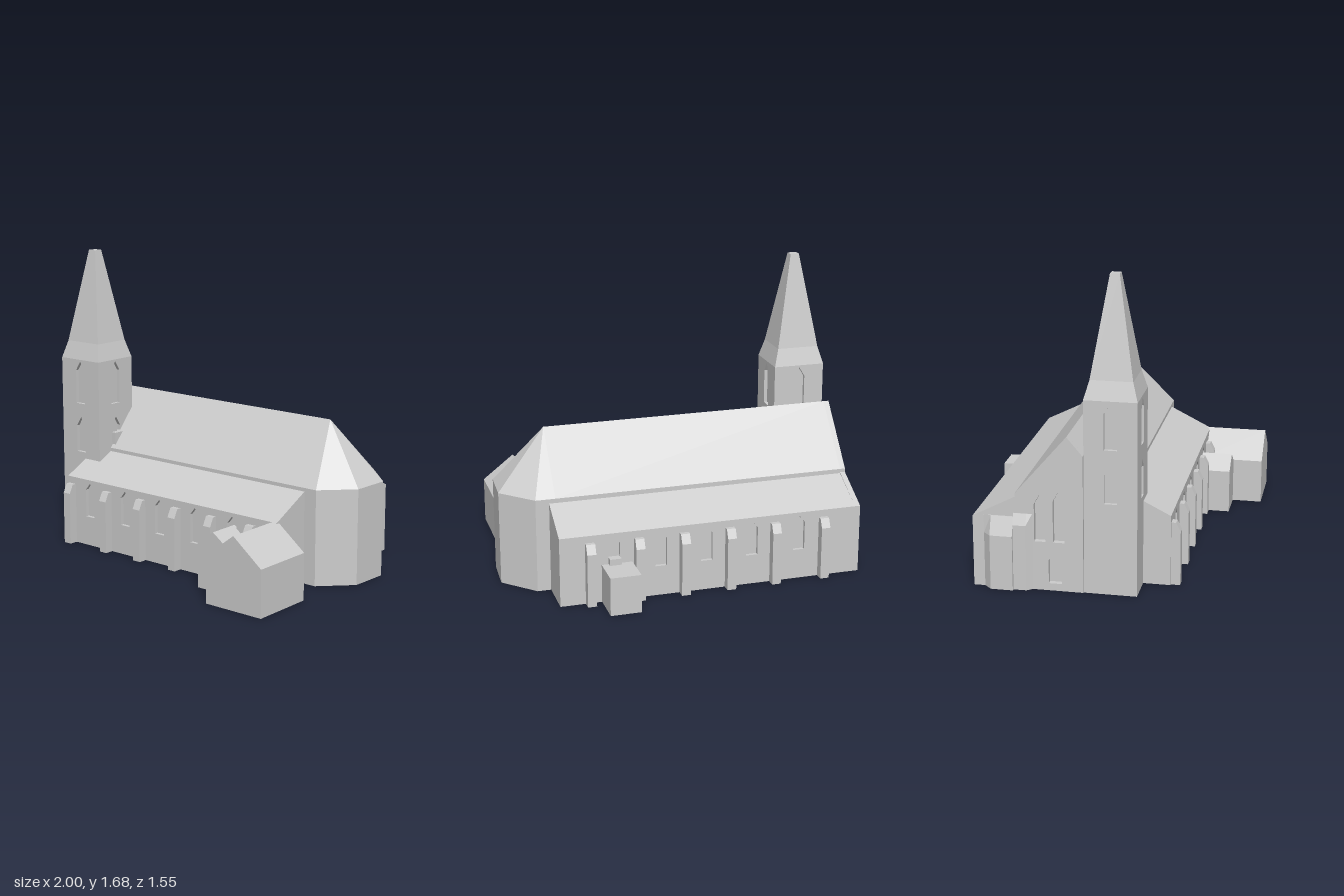
import * as THREE from 'three';

const stone = new THREE.MeshStandardMaterial({ color: 0xcccccc });
stone.name = 'stone';

const mesh = (name, geometry, parent) => {
  const m = new THREE.Mesh(geometry, stone);
  m.name = name;
  parent.add(m);
  return m;
};

// Outline in the given plane, with optional openings
const outline = (pts, holes = []) => {
  const s = new THREE.Shape(pts.map(p => new THREE.Vector2(p[0], p[1])));
  s.holes = holes.map(h => new THREE.Path(h.map(p => new THREE.Vector2(p[0], p[1]))));
  return s;
};

// Outline (x, y) extruded from z0 to z1
const prismZ = (pts, z0, z1, holes) =>
  new THREE.ExtrudeGeometry(outline(pts, holes), { depth: z1 - z0, bevelEnabled: false }).translate(0, 0, z0);

// Outline (z, y) extruded from x0 to x1
const prismX = (pts, x0, x1, holes) =>
  prismZ(pts, 0, x1 - x0, holes).rotateY(-Math.PI / 2).translate(x1, 0, 0);

const box = (x0, x1, y0, y1, z0, z1) =>
  new THREE.BoxGeometry(x1 - x0, y1 - y0, z1 - z0).translate((x0 + x1) / 2, (y0 + y1) / 2, (z0 + z1) / 2);

const rect = (x0, x1, y0, y1) => [[x0, y0], [x1, y0], [x1, y1], [x0, y1]];

// Pointed window opening
const lancet = (c, w, y0, y1, point = 0.055) => [
  [c - w / 2, y0], [c + w / 2, y0], [c + w / 2, y1 - point], [c, y1], [c - w / 2, y1 - point],
];

// Faceted solid through stacked rings of [x, y, z], counterclockwise from above
const loft = rings => {
  const pos = [];
  const tri = (a, b, c) => pos.push(...a, ...b, ...c);
  const same = (a, b) => a.every((v, i) => v === b[i]);
  const n = rings[0].length;
  for (let r = 0; r < rings.length - 1; r++) {
    for (let i = 0; i < n; i++) {
      const j = (i + 1) % n;
      const [a, b, c, d] = [rings[r][i], rings[r][j], rings[r + 1][j], rings[r + 1][i]];
      tri(a, b, c);
      if (!same(c, d)) tri(a, c, d);
    }
  }
  const bottom = rings[0], top = rings[rings.length - 1];
  for (let i = 1; i < n - 1; i++) {
    tri(bottom[0], bottom[i + 1], bottom[i]);
    if (!same(top[0], top[i])) tri(top[0], top[i], top[i + 1]);
  }
  const g = new THREE.BufferGeometry();
  g.setAttribute('position', new THREE.Float32BufferAttribute(pos, 3));
  g.computeVertexNormals();
  return g;
};

export function createModel() {
  const church = new THREE.Group();
  church.name = 'church';

  // Nave with pitched roof
  mesh('nave', prismX([[-0.36, 0], [0.19, 0], [0.19, 0.53], [-0.085, 0.85], [-0.36, 0.53]], -0.93, 0.72), church);

  // Polygonal apse, its roof meeting at the end of the ridge
  const plan = [[0.72, 0.19], [0.83, 0.19], [0.99, 0.03], [1, -0.19], [0.83, -0.36], [0.72, -0.36]];
  mesh('apse', loft([
    plan.map(([x, z]) => [x, 0, z]),
    plan.map(([x, z]) => [x, 0.53, z]),
    plan.map(() => [0.72, 0.85, -0.085]),
  ]), church);

  // Side aisles: core with lean-to roof, pierced outer wall, buttresses
  const windowXs = [-0.6, -0.325, -0.065, 0.195, 0.455];
  const buttressXs = [-0.74, -0.455, -0.195, 0.065, 0.32, 0.59];
  const sides = [
    { name: 'front', x0: -0.775, flip: z => z },
    { name: 'back', x0: -0.93, flip: z => -0.16 - z },
  ];
  for (const { name, x0, flip } of sides) {
    const aisle = new THREE.Group();
    aisle.name = name + 'Aisle';
    church.add(aisle);
    const section = pts => pts.map(([z, y]) => [flip(z), y]);
    mesh('aisleCore', prismX(section([
      [0.18, 0], [0.41, 0], [0.41, 0.385], [0.43, 0.385], [0.43, 0.39], [0.19, 0.51], [0.18, 0.51],
    ]), x0, 0.755), aisle);
    const za = flip(0.41), zb = flip(0.43);
    mesh('aisleWall', prismZ(rect(x0, 0.755, 0, 0.385), Math.min(za, zb), Math.max(za, zb),
      windowXs.map(x => lancet(x, 0.065, 0.17, 0.37, 0.04))), aisle);
    for (const x of buttressXs) {
      mesh('buttress', prismX(section([
        [0.42, 0], [0.48, 0], [0.48, 0.3], [0.455, 0.35], [0.42, 0.35],
      ]), x - 0.025, x + 0.025), aisle);
    }
  }

  // West gable wall with recessed windows
  mesh('westWall', prismX(
    [[-0.59, 0], [0, 0], [0, 0.751], [-0.085, 0.85], [-0.36, 0.53], [-0.36, 0.51], [-0.59, 0.39]],
    -0.96, -0.93,
    [lancet(-0.23, 0.06, 0.27, 0.53), lancet(-0.13, 0.06, 0.27, 0.55), lancet(-0.15, 0.07, 0.04, 0.21, 0.04)],
  ), church);

  // Small stair turret and pier on the west wall
  const turret = [[-0.95, -0.37], [-0.95, -0.53], [-0.96, -0.53], [-1, -0.49], [-1, -0.37]];
  mesh('stairTurret', loft([
    turret.map(([x, z]) => [x, 0, z]),
    turret.map(([x, z]) => [x, 0.3, z]),
    turret.map(([x, z]) => [Math.max(x, -0.965), 0.4, z]),
  ]), church);
  const pier = [[-0.95, -0.27], [-0.95, -0.37], [-0.985, -0.37], [-0.985, -0.3], [-0.96, -0.27]];
  mesh('westPier', loft([
    pier.map(([x, z]) => [x, 0, z]),
    pier.map(([x, z]) => [x, 0.36, z]),
    pier.map(([x, z]) => [Math.max(x, -0.963), 0.42, z]),
  ]), church);

  // Tower: core, four walls with recessed windows, two-stage spire
  const tower = new THREE.Group();
  tower.name = 'tower';
  tower.position.set(-0.8075, 0, 0.143);
  church.add(tower);
  const hx = 0.1475, hz = 0.14, wall = 0.02;
  mesh('towerCore', box(-hx + wall, hx - wall, 0, 1.05, -hz + wall, hz - wall), tower);
  for (let i = 0; i < 4; i++) {
    const [half, out] = i % 2 ? [hz, hx] : [hx, hz];
    const w = mesh('towerWall', prismZ(rect(-half, half, 0, 1.05), out - wall, out,
      [lancet(0, 0.068, 0.5, 0.71), lancet(0, 0.068, 0.79, 1.04)]), tower);
    w.rotation.y = i * Math.PI / 2;
  }
  const ring = (a, b, y) => [[a, y, b], [a, y, -b], [-a, y, -b], [-a, y, b]];
  mesh('spire', loft([ring(hx, hz, 1.05), ring(0.12, 0.112, 1.15), ring(0.025, 0.025, 1.68)]), tower);
  mesh('towerSill', box(0.14, 0.172, 0.55, 0.62, -0.03, 0.03), tower);

  // Front annexes with gabled roofs
  const house = (x0, x1, eave, ridge) =>
    [[x0, 0], [x1, 0], [x1, eave], [(x0 + x1) / 2, ridge], [x0, eave]];
  mesh('largeAnnex', prismZ(house(0.56, 0.92, 0.258, 0.398), 0.41, 0.77), church);
  mesh('smallAnnex', prismZ(house(0.36, 0.57, 0.25, 0.325), 0.42, 0.6), church);

  // Back annex with flat roof
  mesh('backAnnex', box(0.355, 0.525, 0, 0.215, -0.775, -0.58), church);
  mesh('backAnnexStep', box(0.42, 0.485, 0.2, 0.25, -0.615, -0.57), church);

  return church;
}
